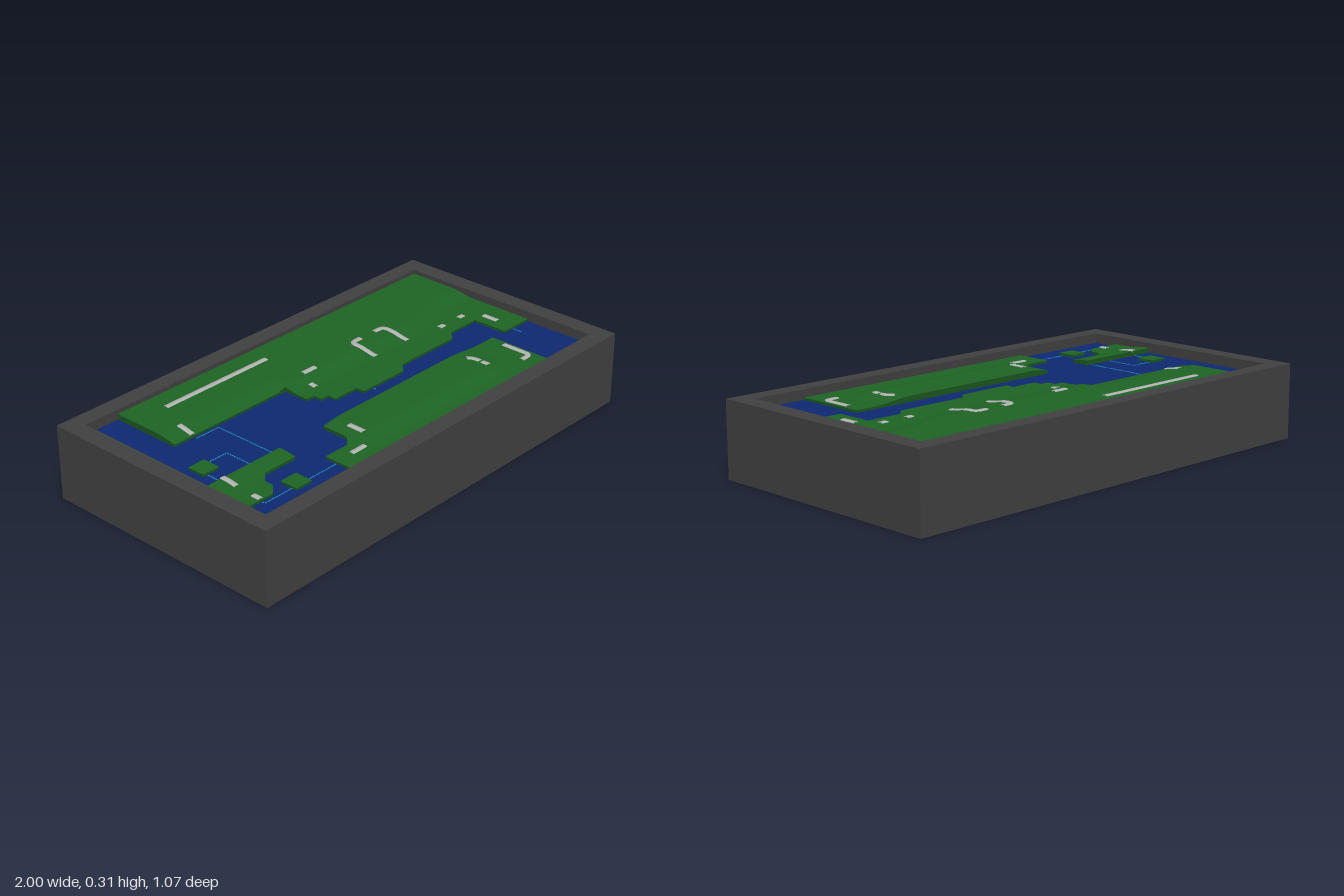
import * as THREE from 'three';

const CELL = 0.0385, X0 = -0.924, Z0 = -0.462, NX = 48, NZ = 24;
const WATER = 0.268;
const mat = (color, side = THREE.FrontSide) => new THREE.MeshStandardMaterial({ color, side });

// coast outlines in grid cells
const LANDS = {
  northLand: [[4, 0], [48, 0], [48, 16], [44, 16], [44, 12], [40, 12], [39, 13], [31, 13], [30, 14], [24, 14],
    [24, 13], [21, 13], [21, 12], [20, 12], [20, 11], [19, 11], [19, 8], [4, 8]],
  southLand: [[16, 16], [42, 16], [42, 24], [12, 24], [12, 20], [15, 20], [16, 19]],
  westIsland: [[0, 16], [10, 16], [10, 18], [6, 18], [5, 19], [5, 20], [4, 21], [0, 21]],
  northIslet: [[2, 12], [4, 12], [4, 14], [2, 14]],
  southIslet: [[6, 20], [8, 20], [8, 22], [6, 22]],
};

// gentle plateaus that fall away towards the shores
const step = THREE.MathUtils.smoothstep;
function height(x, z) {
  if (z < 0.15 && x > -0.78 && !(x < -0.25 && z > -0.14)) {
    const edge = x < -0.2 ? -0.18 : -0.12 - 0.06 * step(x, 0.5, 0.8);
    return 0.278 + 0.014 * (1 - step(z, edge - 0.06, edge + 0.04));
  }
  if (x > -0.5 && z > 0.1) {
    return 0.278 + 0.014 * step(x, -0.35, -0.22) * (1 - step(x, 0.42, 0.6)) * (1 - step(z, 0.31, 0.39));
  }
  return x < -0.5 && z > 0.1 && z < 0.3 ? 0.278 + 0.01 * (1 - step(z, 0.17, 0.26)) : 0.278;
}

function inside(px, pz, poly) {
  let hit = false;
  poly.forEach(([ax, az], i) => {
    const [bx, bz] = poly[(i + 1) % poly.length];
    if ((az > pz) !== (bz > pz) && px < (bx - ax) * (pz - az) / (bz - az) + ax) hit = !hit;
  });
  return hit;
}

function indexed(pos, index) {
  const g = new THREE.BufferGeometry();
  g.setAttribute('position', new THREE.Float32BufferAttribute(pos, 3));
  g.setIndex(index);
  g.computeVertexNormals();
  return g;
}

// top surface: every cell is four triangles around its centre
function landTop(poly) {
  const pos = [], index = [], known = new Map();
  const vert = ([i, j]) => {
    const key = i + ',' + j;
    if (!known.has(key)) {
      const x = X0 + i * CELL, z = Z0 + j * CELL;
      known.set(key, pos.length / 3);
      pos.push(x, height(x, z), z);
    }
    return known.get(key);
  };
  for (let i = 0; i < NX; i++) for (let j = 0; j < NZ; j++) {
    const mid = [i + 0.5, j + 0.5];
    const corners = [[i, j], [i, j + 1], [i + 1, j + 1], [i + 1, j]];
    corners.forEach((a, k) => {
      const b = corners[(k + 1) % 4];
      if (inside((a[0] + b[0] + mid[0]) / 3, (a[1] + b[1] + mid[1]) / 3, poly)) index.push(vert(a), vert(b), vert(mid));
    });
  }
  return indexed(pos, index);
}

// upright bank along the outline
function landBank(poly) {
  const pos = [], index = [];
  poly.forEach((a, k) => {
    const b = poly[(k + 1) % poly.length];
    const n = Math.max(Math.abs(b[0] - a[0]), Math.abs(b[1] - a[1]));
    for (let s = 0; s <= n; s++) {
      const x = X0 + CELL * (a[0] + (b[0] - a[0]) * s / n), z = Z0 + CELL * (a[1] + (b[1] - a[1]) * s / n);
      const v = pos.length / 3;
      pos.push(x, height(x, z), z, x, WATER, z);
      if (s < n) index.push(v, v + 2, v + 1, v + 1, v + 2, v + 3);
    }
  });
  return indexed(pos, index);
}

// flat strip laid over the ground along a path with rounded corners
function road(points, width = 0.02) {
  const path = new THREE.CurvePath(), v = points.map(p => new THREE.Vector2(...p));
  let from = v[0];
  for (let i = 1; i < v.length; i++) {
    if (i === v.length - 1) { path.add(new THREE.LineCurve(from, v[i])); break; }
    const r = 0.025;
    const before = v[i].clone().add(v[i - 1].clone().sub(v[i]).setLength(r));
    const after = v[i].clone().add(v[i + 1].clone().sub(v[i]).setLength(r));
    path.add(new THREE.LineCurve(from, before));
    path.add(new THREE.QuadraticBezierCurve(before, v[i], after));
    from = after;
  }
  const pos = [], index = [], n = Math.max(4, Math.ceil(path.getLength() / 0.008));
  for (let s = 0; s <= n; s++) {
    const p = path.getPointAt(s / n), t = path.getTangentAt(s / n).multiplyScalar(width / 2);
    const y = height(p.x, p.y), k = pos.length / 3;
    for (const [side, lift] of [[-1, -0.004], [-1, 0.004], [1, 0.004], [1, -0.004]])
      pos.push(p.x - t.y * side, y + lift, p.y + t.x * side);
    if (s < n) for (let e = 0; e < 3; e++) index.push(k + e, k + e + 4, k + e + 1, k + e + 1, k + e + 4, k + e + 5);
  }
  return indexed(pos, index).toNonIndexed();
}

export function createModel() {
  const model = new THREE.Group();
  const add = (name, geometry, material, parent = model) => {
    const m = new THREE.Mesh(geometry, material);
    m.name = name;
    parent.add(m);
    return m;
  };
  const group = name => {
    const g = new THREE.Group();
    g.name = name;
    model.add(g);
    return g;
  };
  const rect = (C, w, d) => new C([[-w, -d], [w, -d], [w, d], [-w, d]].map(p => new THREE.Vector2(...p)));

  // tray: frame and floor
  const dark = mat(0x404040);
  const shape = rect(THREE.Shape, 1, 0.535);
  shape.holes.push(rect(THREE.Path, -X0, -Z0));
  add('frame', new THREE.ExtrudeGeometry(shape, { depth: 0.31, bevelEnabled: false }).rotateX(-Math.PI / 2), dark);
  add('floor', new THREE.BoxGeometry(-2 * X0, 0.2, -2 * Z0).translate(0, 0.1, 0), dark);
  add('water', new THREE.PlaneGeometry(-2 * X0, -2 * Z0).rotateX(-Math.PI / 2).translate(0, WATER, 0), mat(0x0e2870));

  // land masses
  const green = mat(0x1e6424), bank = mat(0x1a5520, THREE.DoubleSide);
  for (const [name, poly] of Object.entries(LANDS)) {
    const land = group(name);
    add('ground', landTop(poly), green, land);
    add('bank', landBank(poly), bank, land);
  }

  // road pieces
  const grey = mat(0xb4b4b4, THREE.DoubleSide), roads = group('roads');
  [
    [[-0.615, -0.367], [-0.08, -0.367]], [[-0.675, -0.23], [-0.675, -0.157]],
    [[-0.098, -0.11], [-0.098, -0.08]], [[-0.07, -0.177], [0, -0.177]],
    [[0.25, -0.08], [0.25, -0.214], [0.305, -0.214]], [[0.44, -0.08], [0.44, -0.214], [0.385, -0.214]],
    [[0.613, -0.062], [0.645, -0.062]], [[0.735, -0.062], [0.768, -0.062]],
    [[0.825, 0], [0.825, 0.075]], [[-0.828, 0.153], [-0.828, 0.225]], [[-0.828, 0.305], [-0.828, 0.343]],
    [[-0.25, 0.228], [-0.25, 0.303]], [[-0.385, 0.362], [-0.31, 0.362]],
    [[0.462, 0.21], [0.478, 0.222], [0.478, 0.262]], [[0.478, 0.272], [0.478, 0.305]],
    [[0.67, 0.228], [0.67, 0.362], [0.613, 0.362]],
  ].forEach(p => add('road', road(p), grey, roads));

  // dashed ferry lines on the water
  const cyan = mat(0x1a90c0), lines = group('ferryLines');
  [
    [-0.675, -0.142, -0.56, -0.142], [-0.56, -0.142, -0.56, 0.15], [-0.77, 0.016, -0.672, 0.016],
    [-0.672, 0.016, -0.672, 0.15], [-0.828, 0.078, -0.828, 0.153], [-0.828, 0.345, -0.828, 0.362],
    [-0.828, 0.362, -0.69, 0.362], [-0.615, 0.362, -0.463, 0.362], [0.825, 0.154, 0.825, 0.2], [0.055, 0.08, 0.055, 0.09],
  ].forEach(([ax, az, bx, bz]) => {
    const n = Math.max(1, Math.round(Math.hypot(bx - ax, bz - az) / 0.012));
    for (let s = 0; s < n; s++) {
      const f = (s + 0.5) / n;
      const dash = add('dash', new THREE.BoxGeometry(ax === bx ? 0.004 : 0.008, 0.002, ax === bx ? 0.008 : 0.004), cyan, lines);
      dash.position.set(ax + (bx - ax) * f, WATER + 0.001, az + (bz - az) * f);
    }
  });
  return model;
}
